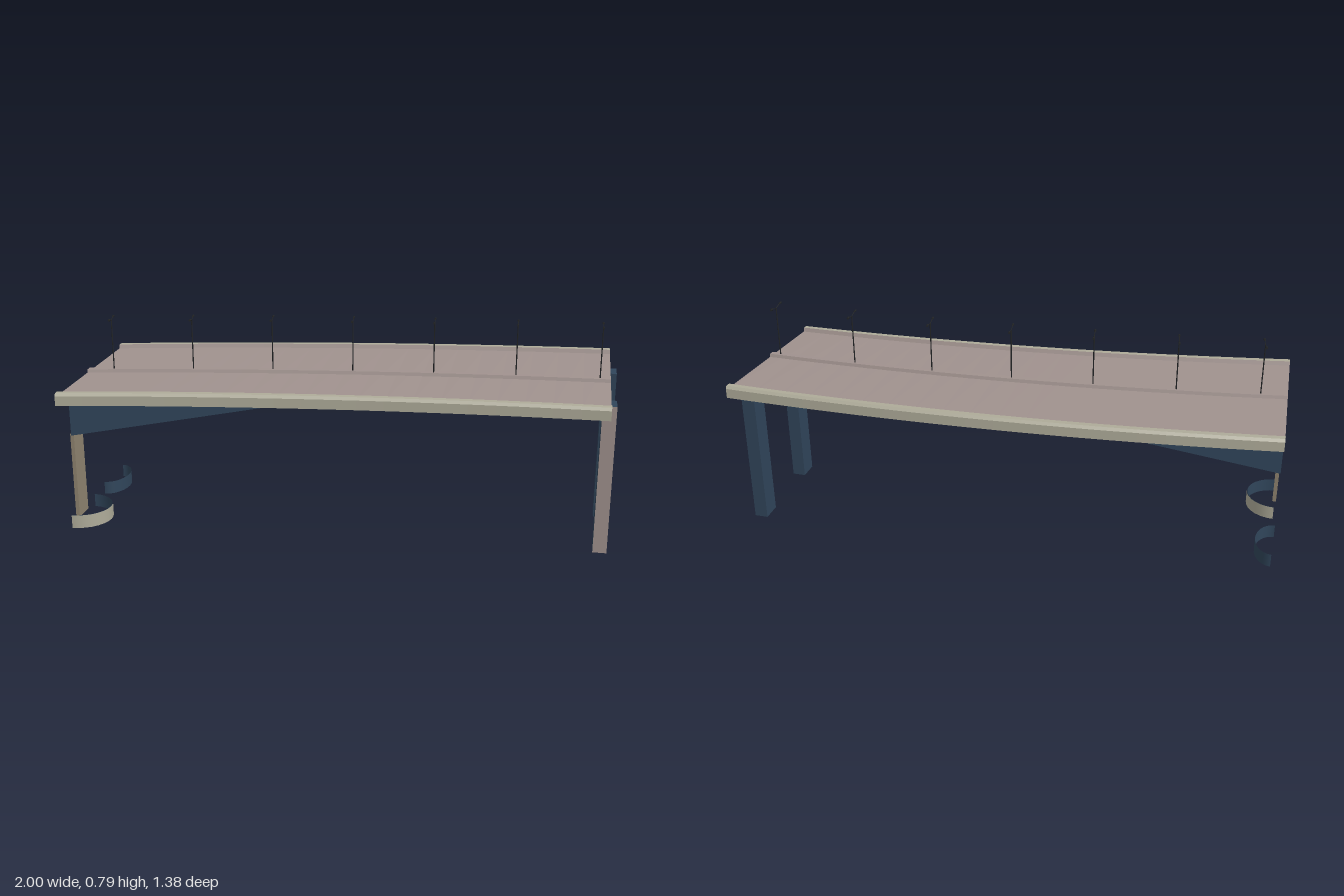
import * as THREE from 'three';

const mat = (name, color, side = THREE.FrontSide) => {
  const m = new THREE.MeshStandardMaterial({ color, side });
  m.name = name;
  return m;
};
const lerp = THREE.MathUtils.lerp;
const SKEW = 0.3; // angle of the deck ends
const SEGMENTS = 20;

// Point on the curved, banked deck: u runs along it, v across it (0 back, 1 front), h above the underside
function deckPoint(u, v, h = 0) {
  const sag = 0.045 * 4 * u * (1 - u);
  return new THREE.Vector3(
    lerp(lerp(-1, -0.775, v), lerp(0.805, 1, v), u) - 0.37 * sag,
    lerp(lerp(0.54, 0.53, v), lerp(0.575, 0.537, v), u) + h,
    lerp(lerp(0.03, 0.69, v), lerp(-0.69, -0.04, v), u) - 0.93 * sag
  );
}

function facetMesh(name, points, material) {
  const g = new THREE.BufferGeometry().setFromPoints(points);
  g.computeVertexNormals();
  const m = new THREE.Mesh(g, material);
  m.name = name;
  return m;
}

const quad = (a, b, c, d) => [a, b, c, a, c, d];

// Sweep an open cross-section of [v, h] along the deck
function sweep(name, profile, material) {
  const pts = [];
  for (let j = 0; j < profile.length - 1; j++) {
    for (let i = 0; i < SEGMENTS; i++) {
      const u0 = i / SEGMENTS, u1 = (i + 1) / SEGMENTS;
      const p = profile[j], q = profile[j + 1];
      pts.push(...quad(deckPoint(u0, ...p), deckPoint(u1, ...p), deckPoint(u1, ...q), deckPoint(u0, ...q)));
    }
  }
  return facetMesh(name, pts, material);
}

// Close both ends of a cross-section
function endCaps(name, profile, material) {
  const contour = profile.map(([v, h]) => new THREE.Vector2(v, h));
  const pts = [];
  for (const [a, b, c] of THREE.ShapeUtils.triangulateShape(contour, [])) {
    pts.push(...[a, b, c].map(k => deckPoint(0, ...profile[k])));
    pts.push(...[c, b, a].map(k => deckPoint(1, ...profile[k])));
  }
  return facetMesh(name, pts, material);
}

function rod(name, a, b, radius, material) {
  const m = new THREE.Mesh(new THREE.CylinderGeometry(radius, radius, a.distanceTo(b), 6), material);
  m.position.copy(a).lerp(b, 0.5);
  m.quaternion.setFromUnitVectors(new THREE.Vector3(0, 1, 0), b.clone().sub(a).normalize());
  m.name = name;
  return m;
}

function block(name, x, z, w, d, y0, y1, material) {
  const m = new THREE.Mesh(new THREE.BoxGeometry(w, y1 - y0, d), material);
  m.position.set(x, (y0 + y1) / 2, z);
  m.rotation.y = SKEW;
  m.name = name;
  return m;
}

// Open half-round wall that bulges towards the bridge
function halfRing(name, x, z, halfWidth, bulge, material) {
  const g = new THREE.CylinderGeometry(1, 1, 0.05, 14, 1, true, 0, Math.PI);
  const m = new THREE.Mesh(g, material);
  m.scale.set(bulge, 1, halfWidth);
  m.position.set(x, 0.06, z);
  m.rotation.y = SKEW;
  m.name = name;
  return m;
}

export function createModel() {
  const road = mat('road pink grey', 0xa0928e);
  const cream = mat('concrete cream', 0xaeab99);
  const brown = mat('pier brown', 0x8f8470);
  const navy = mat('navy', 0x30455a);
  const navyOpen = mat('navy open', 0x30455a, THREE.DoubleSide);
  const under = mat('underside dark', 0x504d48);
  const stone = mat('pier grey', 0x85837a);
  const metal = mat('lamp metal', 0x222426);
  const model = new THREE.Group();
  model.name = 'bridge';

  // Deck with a parapet on each side
  const front = [[1, 0], [1, 0.035], [0.99, 0.045], [0.96, 0.045]];
  const back = front.map(([v, h]) => [1 - v, h]).reverse();
  const surface = [[0.96, 0.045], [0.952, 0.03], [0.048, 0.03], [0.04, 0.045]];
  model.add(
    sweep('frontParapet', front, cream),
    sweep('backParapet', back, cream),
    sweep('roadSurface', surface, road),
    sweep('deckUnderside', [[0, 0], [1, 0]], under),
    endCaps('deckEnds', [...front, ...surface.slice(1, 3), ...back], road)
  );

  // Raised median strip
  const median = [[0.552, 0.029], [0.546, 0.042], [0.514, 0.042], [0.508, 0.029]];
  model.add(sweep('median', median, road), endCaps('medianEnds', median, road));

  // Tapered girder below the left end
  const top = (u, v) => deckPoint(u, v, 0.005);
  const low = v => deckPoint(0, v).setY(0.38);
  const [fb, bb] = [low(0.83), low(0.2)];
  const [ft, bt] = [top(0, 0.83), top(0, 0.2)];
  const [fe, be] = [top(0.5, 0.83), top(0.48, 0.2)];
  model.add(
    facetMesh('girderSides', [fb, fe, ft, bb, bt, be, ...quad(bb, fb, ft, bt)], navy),
    facetMesh('girderBottom', quad(bb, be, fe, fb), under)
  );

  // Piers
  model.add(
    block('rightFrontPier', 0.95, -0.195, 0.05, 0.075, 0, 0.55, [stone, navy, navy, navy, road, navy]),
    block('rightBackPier', 0.855, -0.52, 0.05, 0.075, 0, 0.575, navy),
    block('leftPier', -0.825, 0.535, 0.014, 0.08, 0.06, 0.385, brown)
  );

  // Half-round footings
  model.add(
    halfRing('frontFooting', -0.833, 0.517, 0.11, 0.11, cream),
    halfRing('frontFootingInside', -0.833, 0.517, 0.108, 0.108, navyOpen),
    halfRing('backFooting', -0.945, 0.198, 0.1, 0.065, navyOpen)
  );

  // Double-armed street lamps along the median
  for (let i = 0; i < 7; i++) {
    const u = 0.05 + i * 0.155;
    const lamp = new THREE.Group();
    lamp.name = 'streetLamp';
    const foot = deckPoint(u, 0.53, 0.04);
    const head = deckPoint(u, 0.53, 0.228);
    const along = deckPoint(u + 0.01, 0.53).sub(deckPoint(u - 0.01, 0.53)).setY(0).normalize();
    const across = new THREE.Vector3(-along.z, 0, along.x);
    lamp.add(rod('pole', foot, head, 0.0022, metal));
    for (const s of [-1, 1]) {
      const tip = head.clone().addScaledVector(across, s * 0.03);
      tip.y += 0.007;
      const end = tip.clone().addScaledVector(across, s * 0.012);
      lamp.add(rod('arm', head, tip, 0.0015, metal), rod('lampHead', tip, end, 0.004, metal));
    }
    model.add(lamp);
  }
  return model;
}
